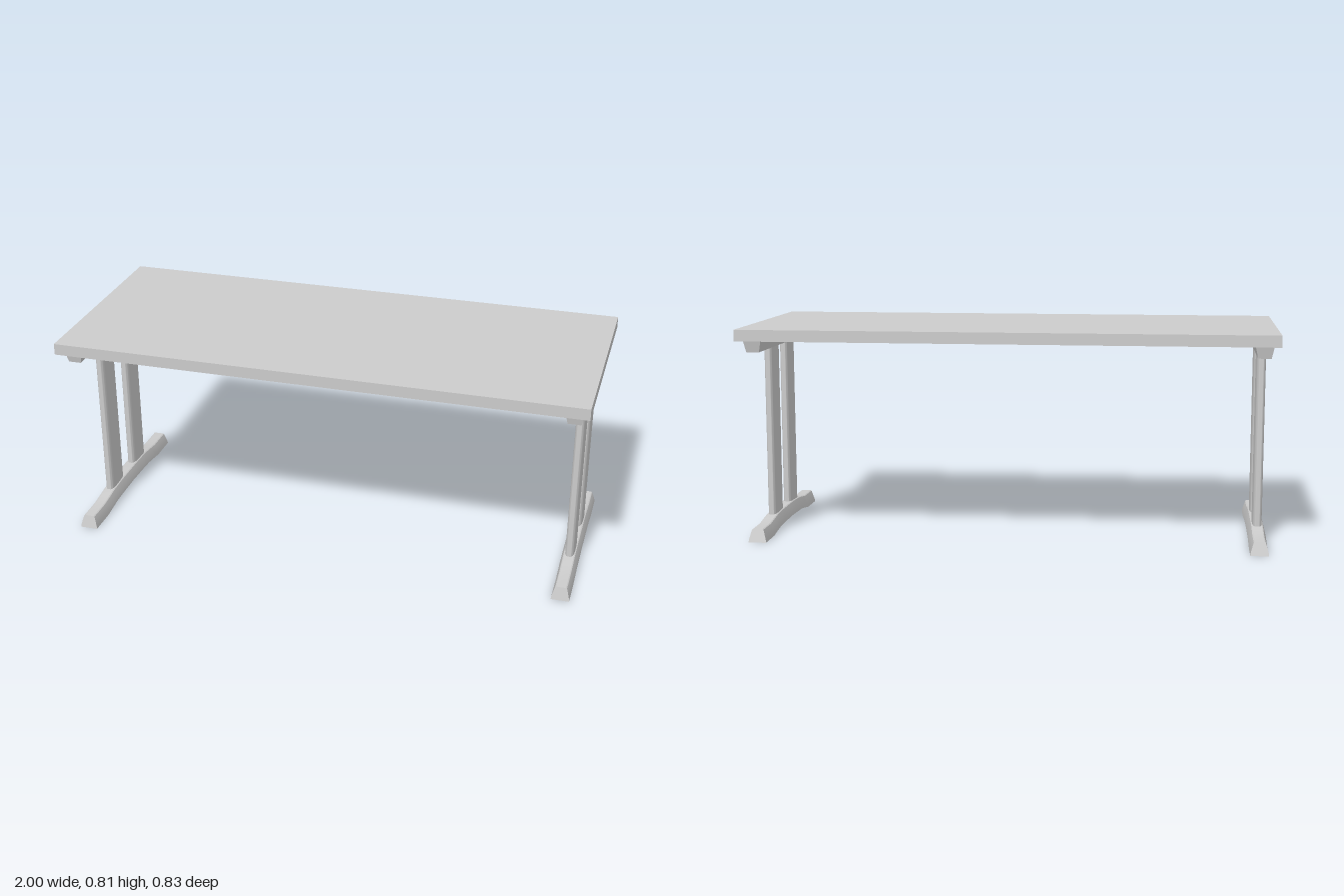
import * as THREE from 'three';
import { toCreasedNormals } from 'three/addons/utils/BufferGeometryUtils.js';

const material = new THREE.MeshStandardMaterial({ color: 0xcccccc });

function addMesh(parent, name, geometry) {
  const mesh = new THREE.Mesh(geometry, material);
  mesh.name = name;
  parent.add(mesh);
  return mesh;
}

// Skin a series of convex rings (counter-clockwise seen from +z), running from -z to +z, with capped ends
function loft(rings) {
  const n = rings[0].length;
  const index = [];
  for (let i = 0; i < rings.length - 1; i++) {
    for (let j = 0; j < n; j++) {
      const k = (j + 1) % n;
      const a = i * n + j, b = i * n + k, c = b + n, d = a + n;
      index.push(a, b, c, a, c, d);
    }
  }
  const last = (rings.length - 1) * n;
  for (let j = 1; j < n - 1; j++) {
    index.push(0, j + 1, j);
    index.push(last, last + j, last + j + 1);
  }
  const geometry = new THREE.BufferGeometry();
  geometry.setAttribute('position', new THREE.Float32BufferAttribute(rings.flat(2), 3));
  geometry.setIndex(index);
  return toCreasedNormals(geometry, 0.5);
}

// Right half of a section mirrored into a full ring
const mirrorSection = half => [...half, ...half.map(([x, y]) => [-x, y]).reverse()];

// Tapered rail under the top, with slanted ends
function railGeometry() {
  const section = mirrorSection([[0.024, 0.725], [0.034, 0.771]]);
  return loft([-1, 1].map(s => section.map(([x, y]) => [x, y, s * (y < 0.75 ? 0.369 : 0.38)])));
}

// Arched foot: rounded trapezoid section swept along z, with slanted ends
function footGeometry() {
  const section = mirrorSection([[0.034, 0], [0.033, 0.2], [0.024, 0.84], [0.022, 0.95], [0.018, 1]]);
  // z, underside height, upper height
  const half = [
    [0.38, 0, 0.05], [0.265, 0, 0.05], [0.215, 0.008, 0.057],
    [0.165, 0.015, 0.064], [0.09, 0.018, 0.068],
  ];
  const stations = [
    ...half.map(([z, lo, hi]) => [-z, lo, hi]), [0, 0.02, 0.068], ...half.slice().reverse(),
  ];
  return loft(stations.map(([z, lo, hi]) => section.map(([x, t]) => {
    const slant = Math.abs(z) > 0.3 ? Math.sign(z) * 0.012 * t : 0;
    return [x, lo + (hi - lo) * t, z - slant];
  })));
}

// Flattened, rounded upright column
function columnGeometry() {
  const geometry = new THREE.CylinderGeometry(1, 1, 0.68, 48);
  const p = geometry.attributes.position;
  const bulge = v => Math.sign(v) * Math.pow(Math.abs(v), 0.6);
  for (let i = 0; i < p.count; i++) {
    p.setXYZ(i, 0.018 * bulge(p.getX(i)), p.getY(i), 0.0605 * bulge(p.getZ(i)));
  }
  return toCreasedNormals(geometry, 0.8);
}

export function createModel() {
  const table = new THREE.Group();
  table.name = 'table';

  // Table top
  addMesh(table, 'tableTop', new THREE.BoxGeometry(2, 0.043, 0.83)).position.y = 0.7915;

  // Matching leg frames at both ends
  const rail = railGeometry(), foot = footGeometry(), column = columnGeometry();
  for (const side of [-1, 1]) {
    const frame = new THREE.Group();
    frame.name = side > 0 ? 'leftLegFrame' : 'rightLegFrame';
    frame.position.x = side * 0.943;
    addMesh(frame, 'topRail', rail);
    addMesh(frame, 'foot', foot);
    for (const z of [-0.112, 0.112]) {
      addMesh(frame, z > 0 ? 'frontColumn' : 'backColumn', column).position.set(0, 0.39, z);
    }
    table.add(frame);
  }
  return table;
}
